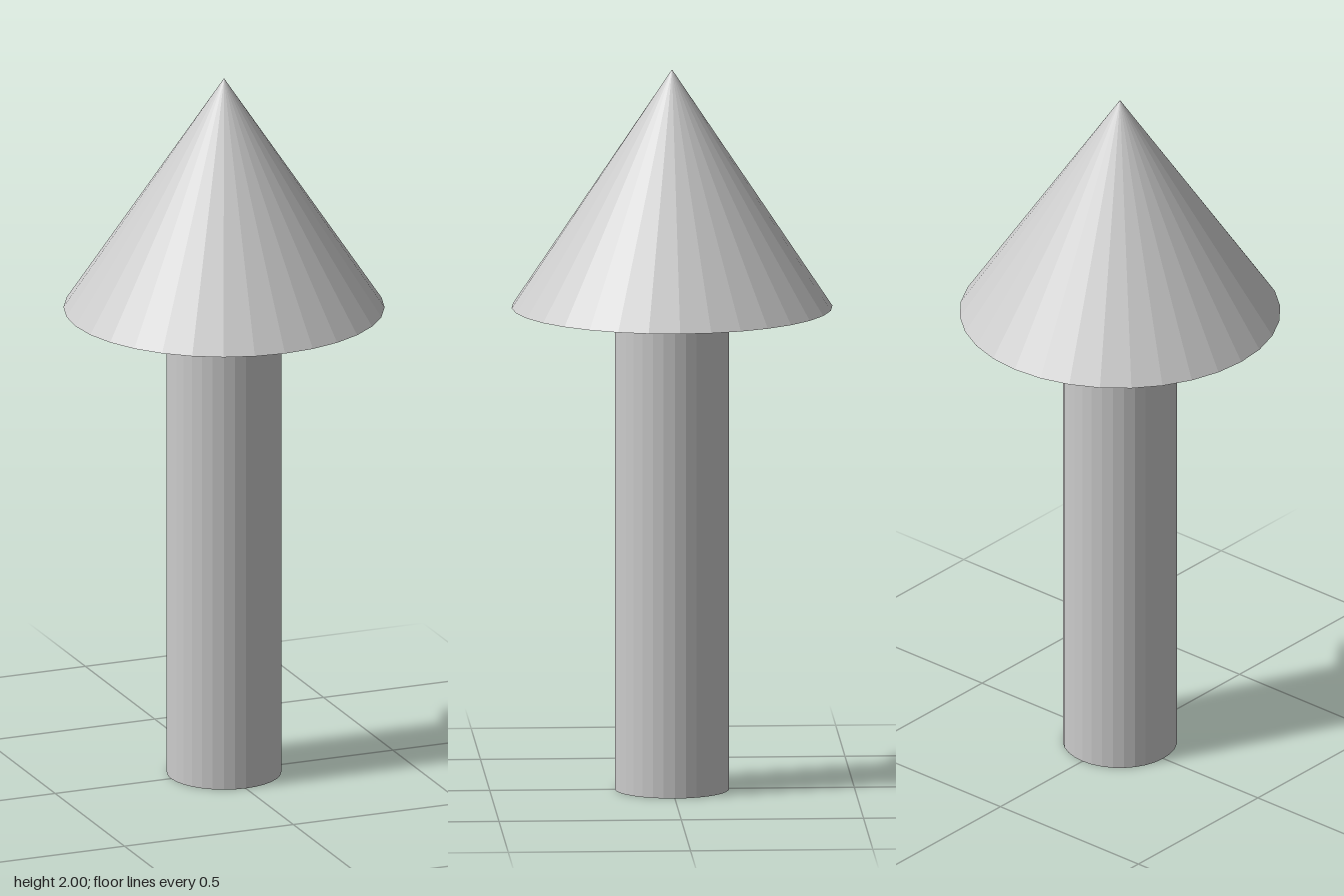
import * as THREE from 'three';

const SIDES = 32;
const HEIGHT = 2;
const HEAD_BASE = 1.34;

export function createModel() {
  const group = new THREE.Group();
  group.name = 'upArrow';
  const material = new THREE.MeshStandardMaterial({ color: 0xcccccc, flatShading: true });

  const addPart = (name, geometry, bottom, height) => {
    const mesh = new THREE.Mesh(geometry, material);
    mesh.name = name;
    mesh.position.y = bottom + height / 2;
    group.add(mesh);
  };

  // Straight shaft standing on the ground
  addPart('shaft', new THREE.CylinderGeometry(0.157, 0.157, HEAD_BASE, SIDES), 0, HEAD_BASE);

  // Pointed head with a flat underside
  const headHeight = HEIGHT - HEAD_BASE;
  addPart('arrowHead', new THREE.ConeGeometry(0.44, headHeight, SIDES), HEAD_BASE, headHeight);

  return group;
}
